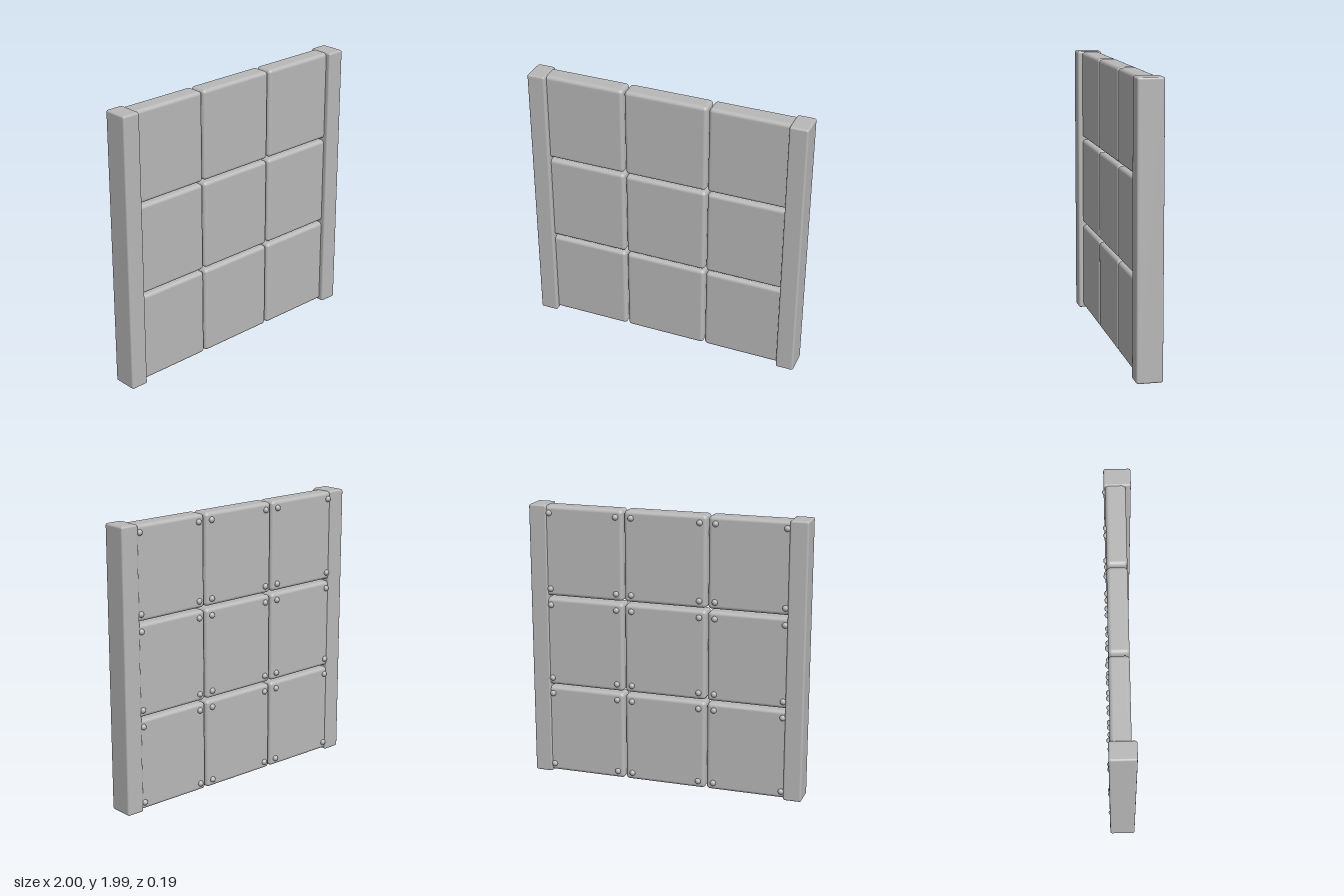
import * as THREE from 'three';
import { RoundedBoxGeometry } from 'three/addons/geometries/RoundedBoxGeometry.js';

const grey = new THREE.MeshStandardMaterial({ color: 0xb8b8b8 });
grey.name = 'stoneGrey';

export function createModel() {
  const model = new THREE.Group();
  model.name = 'panelWall';

  const add = (parent, geometry, name, x, y, z) => {
    const mesh = new THREE.Mesh(geometry, grey);
    mesh.name = name;
    mesh.position.set(x, y, z);
    parent.add(mesh);
    return mesh;
  };

  // Upright posts at both ends
  const postGeometry = new RoundedBoxGeometry(0.13, 1.985, 0.18, 3, 0.014);
  add(model, postGeometry, 'rightPost', -0.935, 0.9925, 0.005);
  add(model, postGeometry, 'leftPost', 0.935, 0.9925, 0.005);

  // Three by three cushioned panels, each with four rivets on the back
  const panelGeometry = new RoundedBoxGeometry(0.595, 0.645, 0.135, 4, 0.026);
  const rivetGeometry = new THREE.SphereGeometry(0.022, 12, 8);
  rivetGeometry.rotateX(Math.PI / 2);

  for (let row = 0; row < 3; row++) {
    for (let column = 0; column < 3; column++) {
      const cell = new THREE.Group();
      cell.name = `panelRow${row + 1}Column${column + 1}`;
      cell.position.set((column - 1) * 0.606, 0.333 + row * 0.662, 0);
      add(cell, panelGeometry, 'panel', 0, 0, -0.0075);
      for (const sx of [-1, 1]) {
        for (const sy of [-1, 1]) {
          add(cell, rivetGeometry, 'rivet', sx * 0.247, sy * 0.272, -0.073);
        }
      }
      model.add(cell);
    }
  }

  return model;
}
